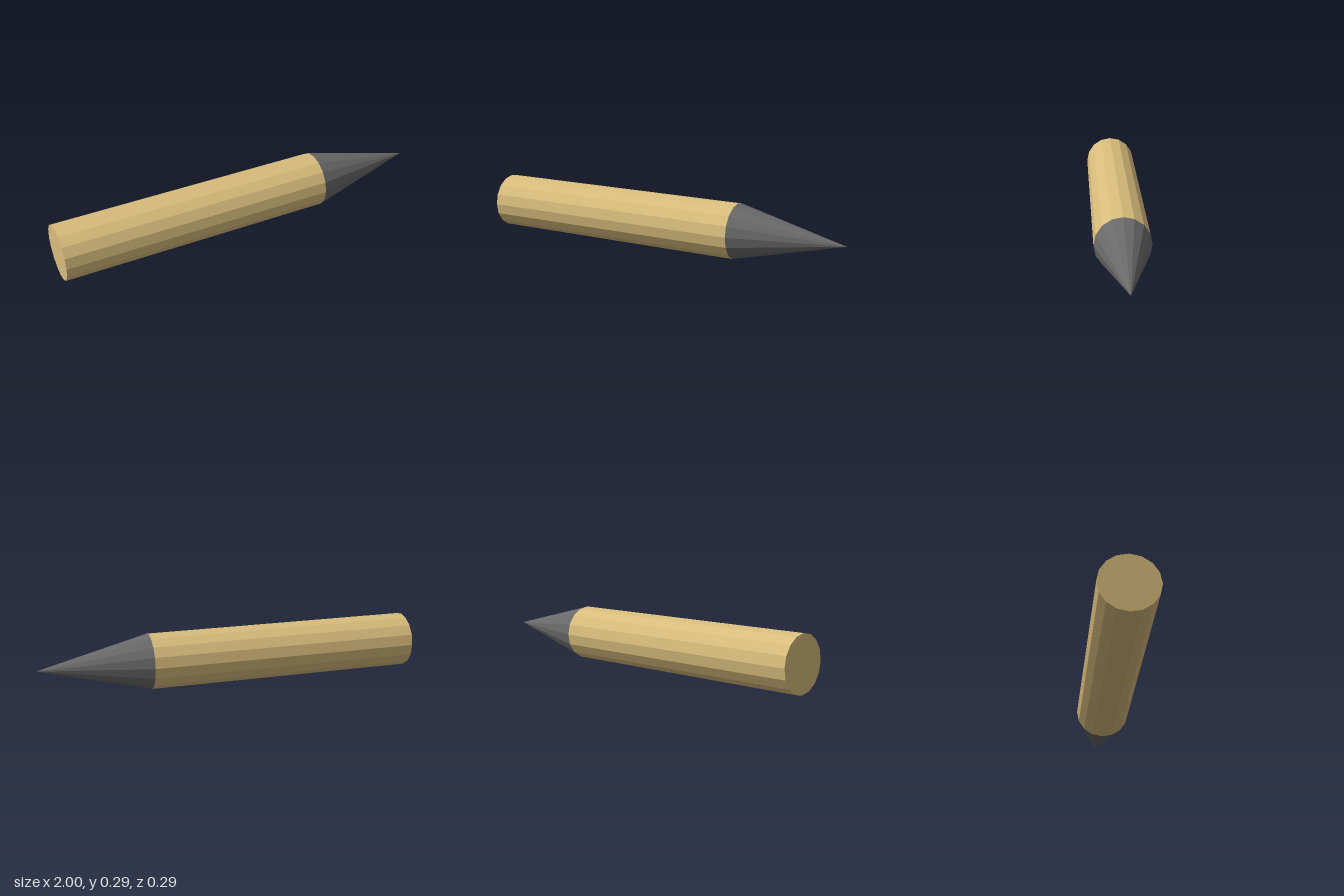
import * as THREE from 'three';

const RADIUS = 1 / 7;
const SIDES = 16;
const TIP_START = 3 / 7;

export function createModel() {
  const group = new THREE.Group();
  group.name = 'pencil';

  const wood = new THREE.MeshStandardMaterial({ color: 0xd8bc7c, flatShading: true });
  wood.name = 'tan wood';
  const lead = new THREE.MeshStandardMaterial({ color: 0x696969, flatShading: true });
  lead.name = 'dark grey';

  // Lays a round part along x, from x0 to x1
  const addPart = (name, material, x0, x1, endRadius) => {
    const geometry = new THREE.CylinderGeometry(endRadius, RADIUS, x1 - x0, SIDES);
    geometry.rotateZ(-Math.PI / 2);
    const mesh = new THREE.Mesh(geometry, material);
    mesh.name = name;
    mesh.position.set((x0 + x1) / 2, RADIUS, 0);
    group.add(mesh);
  };

  addPart('shaft', wood, -1, TIP_START, RADIUS);
  addPart('tip', lead, TIP_START, 1, 0);

  return group;
}
